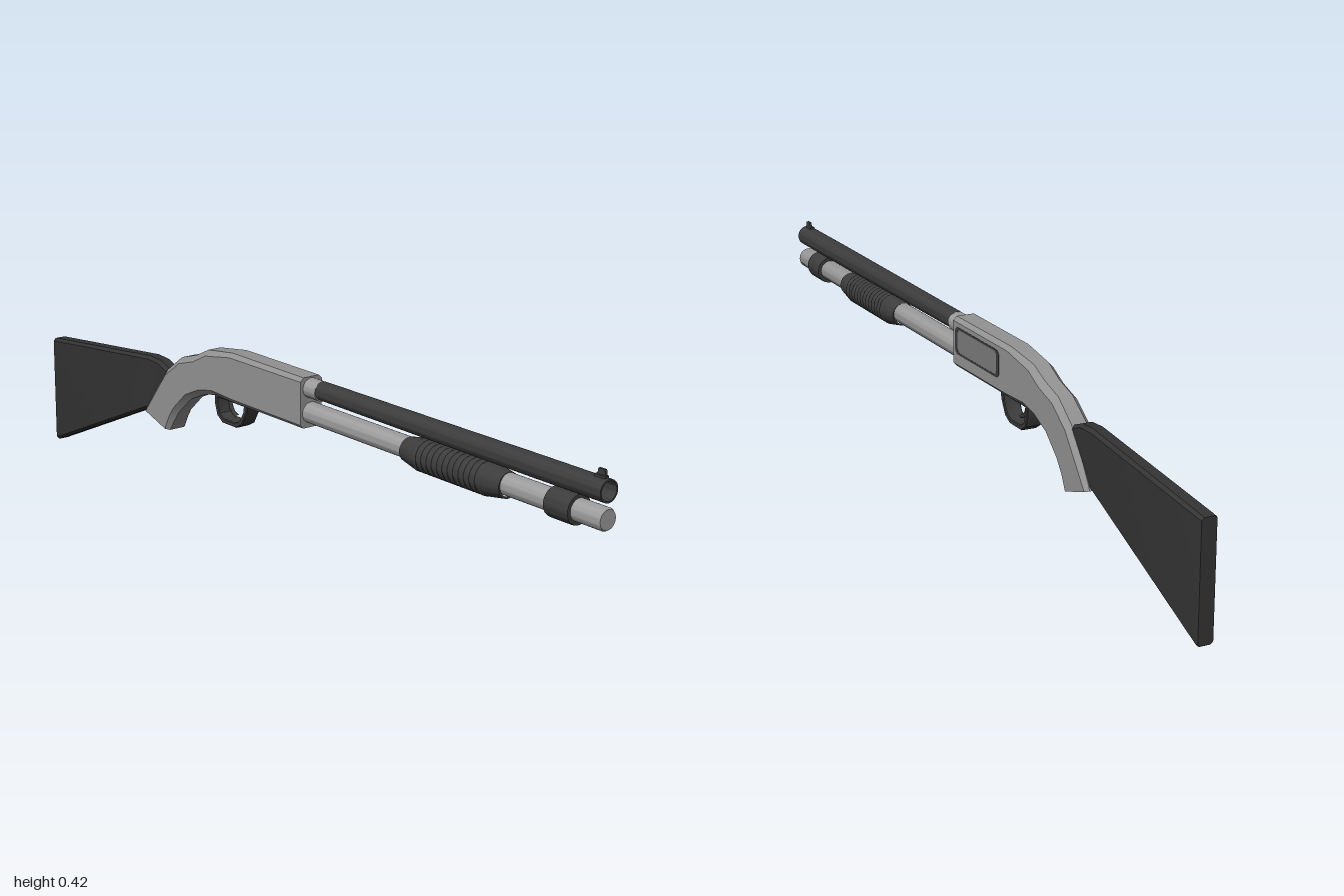
import * as THREE from 'three';
import { toCreasedNormals } from 'three/addons/utils/BufferGeometryUtils.js';

const COLORS = { receiver: 0x929292, tube: 0x9c9c9c, dark: 0x3c3c3c, stock: 0x333333, line: 0x7c7c7c };

function part(group, name, geometry, color) {
  const mesh = new THREE.Mesh(geometry, new THREE.MeshStandardMaterial({ color }));
  mesh.name = name;
  group.add(mesh);
  return mesh;
}

// Turned part along z: profile of [radius, z] pairs, axis at height y
function turned(profile, y, crease = 0.6) {
  const points = profile.map(([r, z]) => new THREE.Vector2(r, z));
  const g = new THREE.LatheGeometry(points, 32).rotateX(Math.PI / 2).translate(0, y, 0);
  return toCreasedNormals(g, crease);
}

// Chamfered box section lofted front to back: [zTop, yTop, zBottom, yBottom, halfWidth, chamfer]
function loft(stations) {
  const pos = [], index = [], n = 8;
  for (const [zt, yt, zb, yb, w, c] of stations) {
    const f = c / Math.hypot(zt - zb, yt - yb);
    const ring = [[w, f], [w, 1 - f], [w - c, 1], [c - w, 1], [-w, 1 - f], [-w, f], [c - w, 0], [w - c, 0]];
    for (const [x, t] of ring) pos.push(x, yb + (yt - yb) * t, zb + (zt - zb) * t);
  }
  const last = (stations.length - 1) * n;
  for (let i = 0; i < last; i += n) {
    for (let j = 0; j < n; j++) {
      const a = i + j, b = i + (j + 1) % n;
      index.push(a, a + n, b, b, a + n, b + n);
    }
  }
  for (let j = 1; j < n - 1; j++) index.push(0, j, j + 1, last, last + j + 1, last + j);
  const g = new THREE.BufferGeometry();
  g.setAttribute('position', new THREE.Float32BufferAttribute(pos, 3));
  g.setIndex(index);
  return toCreasedNormals(g, 0.6);
}

// Side outline of [z, y] points extruded across x, centred on x = 0
function sidePlate(shape, width, bevel = 0) {
  const g = new THREE.ExtrudeGeometry(shape, {
    depth: width - 2 * bevel, bevelEnabled: bevel > 0, bevelSize: bevel, bevelThickness: bevel,
    bevelOffset: -bevel, bevelSegments: 1, curveSegments: 8,
  });
  return toCreasedNormals(g.translate(0, 0, bevel - width / 2).rotateY(Math.PI / 2), 0.6);
}
const outline = (pts) => pts.map(([z, y]) => new THREE.Vector2(-z, y));

export function createModel() {
  const model = new THREE.Group();
  model.name = 'pumpShotgun';

  // Receiver flowing into the hooked grip
  part(model, 'receiver', loft([
    [0.06, 0.41, 0.06, 0.29, 0.031, 0.009],
    [-0.21, 0.41, -0.2, 0.29, 0.031, 0.01],
    [-0.31, 0.396, -0.28, 0.291, 0.031, 0.013],
    [-0.36, 0.372, -0.33, 0.28, 0.031, 0.014],
    [-0.42, 0.354, -0.385, 0.256, 0.031, 0.014],
    [-0.48, 0.31, -0.435, 0.212, 0.031, 0.013],
    [-0.53, 0.247, -0.452, 0.188, 0.031, 0.012],
    [-0.57, 0.19, -0.47, 0.158, 0.031, 0.009],
  ]), COLORS.receiver);

  // Ejection port on the left side: raised rim around a plate
  const pill = (z0, z1, y0, y1, r) => {
    const s = new THREE.Shape();
    s.absarc(-z0 - r, y1 - r, r, Math.PI / 2, Math.PI, false);
    s.absarc(-z0 - r, y0 + r, r, Math.PI, 1.5 * Math.PI, false);
    s.absarc(-z1 + r, y0 + r, r, -Math.PI / 2, 0, false);
    s.absarc(-z1 + r, y1 - r, r, 0, Math.PI / 2, false);
    return s;
  };
  // z0 is the rear end, z1 the front end
  const rim = pill(0.02, -0.14, 0.325, 0.39, 0.015);
  rim.holes.push(pill(0.015, -0.135, 0.33, 0.385, 0.011));
  part(model, 'ejectionPortRim', sidePlate(rim, 0.002), COLORS.dark).position.x = 0.0308;
  part(model, 'ejectionPortCover', sidePlate(pill(0.015, -0.135, 0.33, 0.385, 0.011), 0.001), COLORS.line)
    .position.x = 0.0309;

  // Shoulder stock
  part(model, 'stock', loft([
    [-0.472, 0.306, -0.55, 0.196, 0.019, 0.008],
    [-0.515, 0.323, -0.58, 0.186, 0.02, 0.008],
    [-0.56, 0.326, -0.62, 0.168, 0.02, 0.008],
    [-0.995, 0.281, -0.995, 0.004, 0.02, 0.007],
    [-1, 0.279, -1, 0.006, 0.018, 0.006],
  ]), COLORS.stock);

  // Barrel with hollow muzzle, and its collar at the receiver
  part(model, 'barrel', turned([
    [0, 0.1], [0.022, 0.1], [0.025, 0.8], [0.025, 1], [0.021, 1], [0.021, 0.93], [0, 0.93],
  ], 0.385), COLORS.dark);
  part(model, 'barrelCollar', turned([[0, 0.05], [0.0235, 0.05], [0.0235, 0.102], [0, 0.102]], 0.383),
    COLORS.tube);

  // Front sight: small base and blade
  part(model, 'sightBase', new THREE.BoxGeometry(0.012, 0.008, 0.03).translate(0, 0.41, 0.977), COLORS.dark);
  part(model, 'sightBlade', sidePlate(new THREE.Shape(outline([
    [0.99, 0.405], [0.964, 0.405], [0.968, 0.426], [0.986, 0.426],
  ])), 0.006), COLORS.dark).position.x = 0.003;

  // Magazine tube and clamp ring
  part(model, 'magazineTube', turned([[0, 0.05], [0.025, 0.05], [0.025, 0.995], [0.022, 1], [0, 1]], 0.325),
    COLORS.tube);
  part(model, 'clampRing', turned([
    [0.024, 0.85], [0.033, 0.85], [0.034, 0.855], [0.034, 0.915], [0.033, 0.92], [0.024, 0.92],
  ], 0.325), COLORS.dark);

  // Pump grip with tapered ends and ribs
  const pump = [[0.024, 0.4], [0.028, 0.4], [0.036, 0.44]];
  const ribs = 13, pitch = 0.22 / ribs;
  for (let i = 0; i < ribs; i++) {
    const z = 0.445 + i * pitch;
    pump.push([0.0355, z], [0.038, z + pitch * 0.3], [0.038, z + pitch * 0.7], [0.0355, z + pitch]);
  }
  pump.push([0.036, 0.67], [0.029, 0.715], [0.024, 0.715]);
  part(model, 'pumpGrip', turned(pump, 0.322, 0.3), COLORS.dark);

  // Trigger guard loop and curved trigger
  const guard = new THREE.Shape(outline([
    [-0.155, 0.295], [-0.16, 0.272], [-0.178, 0.24], [-0.2, 0.228], [-0.255, 0.228],
    [-0.276, 0.242], [-0.285, 0.27], [-0.285, 0.295],
  ]));
  guard.holes.push(new THREE.Path(outline([
    [-0.17, 0.287], [-0.173, 0.272], [-0.187, 0.248], [-0.204, 0.239], [-0.251, 0.239],
    [-0.266, 0.249], [-0.273, 0.272], [-0.273, 0.287],
  ])));
  part(model, 'triggerGuard', sidePlate(guard, 0.04, 0.002), COLORS.dark);
  const trigger = new THREE.CatmullRomCurve3([
    [-0.25, 0.295], [-0.247, 0.272], [-0.237, 0.256], [-0.22, 0.248],
  ].map(([z, y]) => new THREE.Vector3(0, y, z)));
  part(model, 'trigger', new THREE.TubeGeometry(trigger, 10, 0.005, 8), COLORS.dark);

  return model;
}
